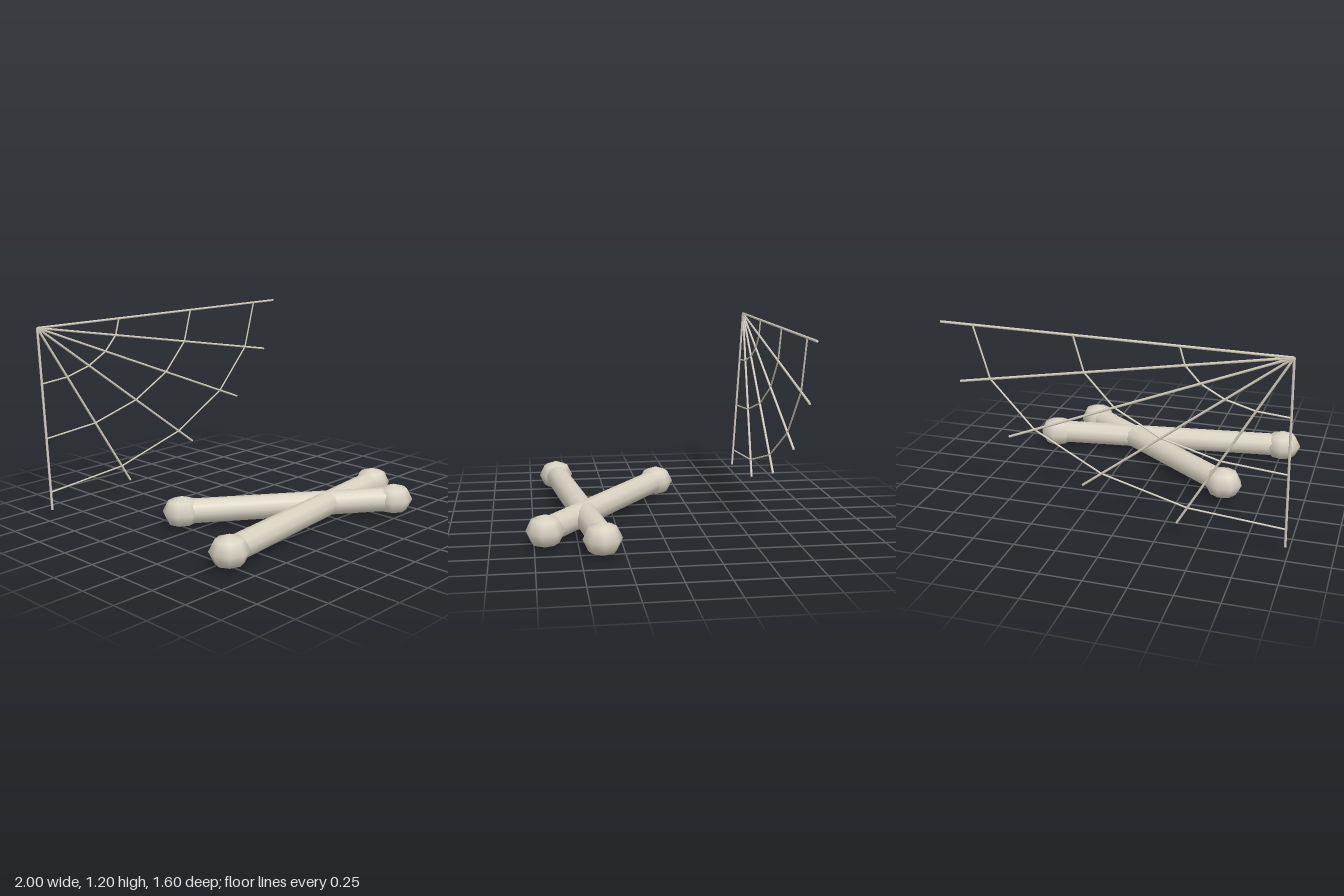
import * as THREE from 'three';

const UP = new THREE.Vector3(0, 1, 0);

// Cylinder running between two points
function rod(name, a, b, radius, sides, material) {
  const dir = b.clone().sub(a);
  const mesh = new THREE.Mesh(new THREE.CylinderGeometry(radius, radius, dir.length(), sides), material);
  mesh.position.copy(a).add(b).multiplyScalar(0.5);
  mesh.quaternion.setFromUnitVectors(UP, dir.normalize());
  mesh.name = name;
  return mesh;
}

export function createModel() {
  const model = new THREE.Group();
  model.name = 'bonesAndWeb';
  const bone = new THREE.MeshStandardMaterial({ color: 0xd8d2c2 });
  bone.name = 'bone';

  // Crossed bones: a shaft with a faceted knob at each end
  const knobGeometry = new THREE.SphereGeometry(1, 8, 4);
  const bones = [
    [[-0.765, 0.575], [0.765, 0.378]],
    [[-0.505, -0.09], [0.578, 0.687]],
  ];
  for (const ends of bones) {
    const group = new THREE.Group();
    group.name = 'bone';
    const [a, b] = ends.map(([x, z]) => new THREE.Vector3(x, 0.1, z));
    group.add(rod('shaft', a, b, 0.075, 10, bone));
    for (const end of [a, b]) {
      const knob = new THREE.Mesh(knobGeometry, bone);
      knob.name = 'knob';
      knob.scale.set(0.12, 0.097, 0.112);
      knob.position.copy(end);
      knob.rotation.y = -Math.atan2(b.z - a.z, b.x - a.x) * 0.25;
      group.add(knob);
    }
    model.add(group);
  }

  // Corner web: spokes fan out over a quarter ellipse
  const web = new THREE.Group();
  web.name = 'web';
  const corner = new THREE.Vector3(-0.991, 1.192, -0.792);
  const tips = [];
  for (let i = 0; i <= 5; i++) {
    const t = (i / 5) * Math.PI / 2;
    const tip = new THREE.Vector3(1.99 * Math.cos(t), -1.113 * Math.sin(t), 0.063).add(corner);
    tips.push(tip);
    web.add(rod('spoke', corner, tip, 0.0075, 6, bone));
  }
  // Cross threads join neighbouring spokes
  for (const f of [0.3, 0.6, 0.9]) {
    const points = tips.map((tip) => corner.clone().lerp(tip, f));
    for (let i = 0; i < 5; i++) {
      web.add(rod('thread', points[i], points[i + 1], 0.0055, 5, bone));
    }
  }
  model.add(web);
  return model;
}
